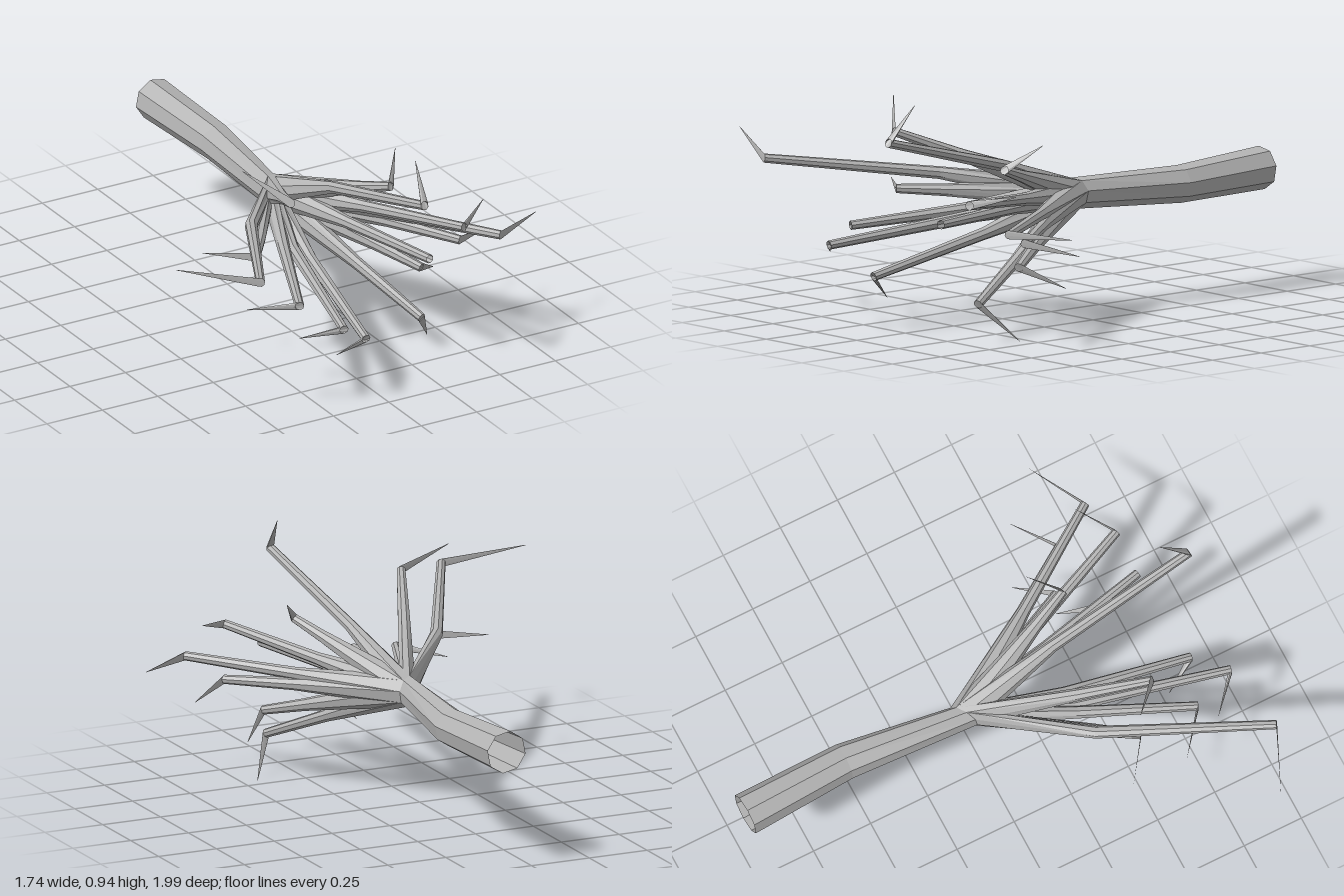
import * as THREE from 'three';

const V = (x, y, z) => new THREE.Vector3(x, y, z);

// Open faceted tube through points; each ring lies on the bisecting plane unless a normal is given.
function loft(points, radii, normals = []) {
  const sides = 8;
  const n = points.length;
  const dirs = [];
  for (let i = 0; i < n - 1; i++) dirs.push(points[i + 1].clone().sub(points[i]).normalize());
  let prev = V(0, 0, 1);
  let u = V(1, 0, 0), w = V(0, 1, 0);
  const positions = [], index = [];
  points.forEach((p, i) => {
    const t = normals[i]
      ? normals[i].clone().normalize()
      : dirs[Math.max(i - 1, 0)].clone().add(dirs[Math.min(i, n - 2)]).normalize();
    const q = new THREE.Quaternion().setFromUnitVectors(prev, t);
    u = u.clone().applyQuaternion(q);
    w = w.clone().applyQuaternion(q);
    prev = t;
    for (let s = 0; s < sides; s++) {
      const a = ((s + 0.25) / sides) * Math.PI * 2;
      const v = p.clone()
        .addScaledVector(u, Math.cos(a) * radii[i])
        .addScaledVector(w, Math.sin(a) * radii[i]);
      positions.push(v.x, v.y, v.z);
    }
  });
  for (let i = 0; i < n - 1; i++) {
    for (let s = 0; s < sides; s++) {
      const a = i * sides + s, b = i * sides + ((s + 1) % sides);
      index.push(a, b, b + sides, a, b + sides, a + sides);
    }
  }
  const g = new THREE.BufferGeometry();
  g.setAttribute('position', new THREE.Float32BufferAttribute(positions, 3));
  g.setIndex(index);
  const flat = g.toNonIndexed();
  flat.computeVertexNormals();
  return flat;
}

export function createModel() {
  const group = new THREE.Group();
  group.name = 'branchingRoot';
  const grey = new THREE.MeshStandardMaterial({
    color: 0xb4b4b4, flatShading: true, side: THREE.DoubleSide,
  });
  grey.name = 'grey';

  // Slanted mouth of the stem, shared by every branch
  const hub = V(0.075, 0.473, -0.052);
  const hubNormal = V(0.53, 0, 0.85);
  const hubRadius = 0.062;

  // Hollow stem, open at both ends
  const stem = new THREE.Mesh(loft(
    [V(0.105, 0.472, -0.995), V(0.127, 0.46, -0.55), hub],
    [0.085, 0.074, hubRadius],
    [V(0.04, 0, 1), V(0.02, 0, 1), hubNormal],
  ), grey);
  stem.name = 'stem';
  group.add(stem);

  // Elbow and tip of every branch: [elbow x, y, z, tip x, y, z]; the last one has no hook
  const branches = [
    [-0.57, 0.645, 0.985, -0.87, 0.715, 0.85],
    [-0.22, 0.755, 0.62, -0.365, 0.875, 0.495],
    [0.17, 0.80, 0.985, 0.195, 0.94, 0.87],
    [0.30, 0.655, 0.50, 0.39, 0.75, 0.38],
    [0.45, 0.57, 0.81, 0.60, 0.61, 0.70],
    [0.64, 0.475, 0.77, 0.87, 0.47, 0.645],
    [0.55, 0.41, 0.61, 0.735, 0.37, 0.49],
    [0.42, 0.29, 0.53, 0.55, 0.21, 0.40],
    [0.34, 0.15, 0.67, 0.44, 0.002, 0.54],
    [-0.035, 0.235, 0.885, -0.095, 0.13, 0.76],
    [-0.19, 0.35, 0.98, -0.32, 0.295, 0.86],
    [-0.28, 0.395, 0.79, -0.44, 0.365, 0.66],
    [-0.32, 0.505, 0.52, -0.49, 0.515, 0.40],
    [0.29, 0.475, 0.82],
  ];
  branches.forEach(([ex, ey, ez, ...tip], i) => {
    const elbow = V(ex, ey, ez);
    // Long branches bow outward at the knee
    const t = (0.36 - hub.z) / (ez - hub.z);
    const knee = hub.clone().lerp(elbow, Math.max(t, 0.5));
    knee.z = 0.36;
    const points = [hub, knee, elbow];
    if (tip.length) points.push(V(...tip));
    // The elbow ring stays square to the limb, which leaves the hook a thin blade
    const limb = elbow.clone().sub(knee);
    const mesh = new THREE.Mesh(
      loft(points, [hubRadius, 0.025, 0.018, 0.001], [hubNormal, undefined, limb, limb]), grey);
    mesh.name = `branch${i + 1}`;
    group.add(mesh);
  });
  return group;
}
